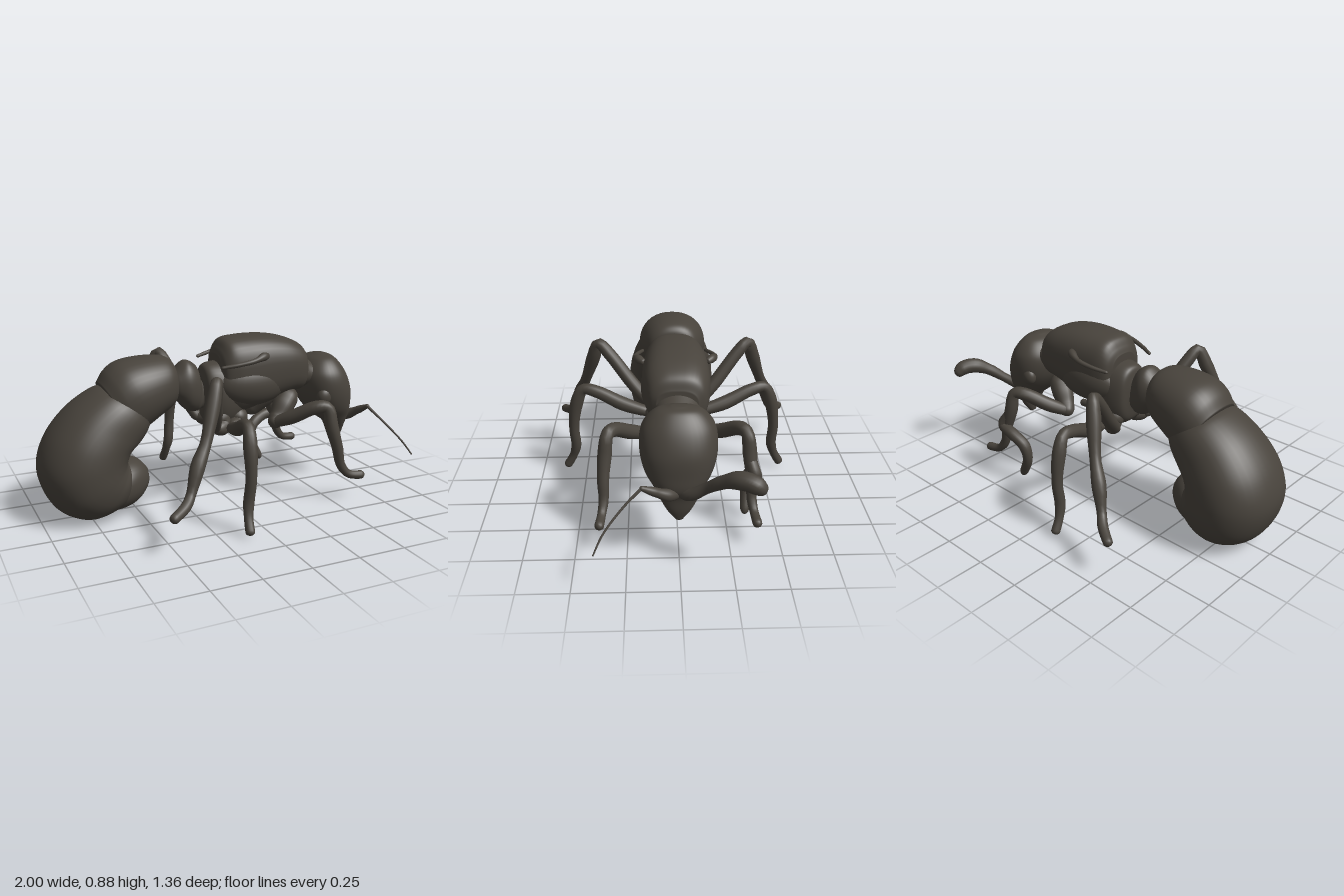
import * as THREE from 'three';

const shell = new THREE.MeshStandardMaterial({ color: 0x48433c });
shell.name = 'dark brown shell';

// Closed skin over a row of rings, each counter-clockwise about the direction of travel
function skin(rings) {
  const n = rings[0].length, m = rings.length, pos = [], idx = [];
  rings.forEach(r => r.forEach(p => pos.push(p.x, p.y, p.z)));
  for (let i = 0; i < m - 1; i++) for (let j = 0; j < n; j++) {
    const a = i * n + j, b = i * n + (j + 1) % n;
    idx.push(a, b, a + n, b, b + n, a + n);
  }
  [0, m - 1].forEach((row, k) => {
    const c = rings[row].reduce((s, p) => s.add(p), new THREE.Vector3()).divideScalar(n);
    pos.push(c.x, c.y, c.z);
    for (let j = 0; j < n; j++) {
      const a = row * n + j, b = row * n + (j + 1) % n;
      k ? idx.push(m * n + 1, a, b) : idx.push(m * n, b, a);
    }
  });
  const g = new THREE.BufferGeometry();
  g.setAttribute('position', new THREE.Float32BufferAttribute(pos, 3));
  g.setIndex(idx);
  g.computeVertexNormals();
  return g;
}

// Body part from sections [outerX, outerY, innerX, innerY, halfWidth]; power squares the section
function loft(sections, power = 2, steps = 60, sides = 40) {
  const outer = new THREE.CatmullRomCurve3(sections.map(s => new THREE.Vector3(s[0], s[1], s[4])));
  const inner = new THREE.CatmullRomCurve3(sections.map(s => new THREE.Vector3(s[2], s[3], 0)));
  const bend = v => Math.sign(v) * Math.abs(v) ** (2 / power);
  const rings = [];
  for (let i = 0; i <= steps; i++) {
    const o = outer.getPoint(i / steps), q = inner.getPoint(i / steps), ring = [];
    for (let j = 0; j < sides; j++) {
      const t = j / sides * Math.PI * 2, c = bend(Math.cos(t));
      ring.push(new THREE.Vector3((o.x + q.x) / 2 + (o.x - q.x) / 2 * c,
        (o.y + q.y) / 2 + (o.y - q.y) / 2 * c, Math.max(o.z, 0.002) * bend(Math.sin(t))));
    }
    rings.push(ring);
  }
  return skin(rings);
}

// Round-ended limb through points [x, y, z, radius]; side mirrors z
function limb(points, side = 1, steps = 44, sides = 14) {
  const curve = new THREE.CatmullRomCurve3(points.map(p => new THREE.Vector3(p[0], p[1], p[2] * side)));
  const length = curve.getLength(), rings = [];
  let normal = new THREE.Vector3(0.31, 0.2, 0.93);
  for (let i = 0; i <= steps; i++) {
    const t = (1 - Math.cos(Math.PI * i / steps)) / 2;
    const c = curve.getPoint(t), dir = curve.getTangent(t);
    normal = normal.clone().addScaledVector(dir, -normal.dot(dir)).normalize();
    const side2 = dir.clone().cross(normal);
    const f = t * (points.length - 1), k = Math.min(Math.floor(f), points.length - 2);
    let r = THREE.MathUtils.lerp(points[k][3], points[k + 1][3], THREE.MathUtils.smoothstep(f - k, 0, 1));
    const end = Math.min(1, Math.min(t, 1 - t) * length / r);
    r *= Math.max(0.03, Math.sqrt(1 - (1 - end) ** 2));
    const ring = [];
    for (let j = 0; j < sides; j++) {
      const a = j / sides * Math.PI * 2;
      ring.push(c.clone().addScaledVector(normal, r * Math.cos(a)).addScaledVector(side2, r * Math.sin(a)));
    }
    rings.push(ring);
  }
  return skin(rings);
}

export function createModel() {
  const model = new THREE.Group();
  model.name = 'ant';
  const add = (name, geometry) => {
    const mesh = new THREE.Mesh(geometry, shell);
    mesh.name = name;
    model.add(mesh);
    return mesh;
  };
  const blob = (name, x, y, z, rx, ry, rz) => {
    const mesh = add(name, new THREE.SphereGeometry(1, 28, 20));
    mesh.position.set(x, y, z);
    mesh.scale.set(rx, ry, rz);
  };

  // Abdomen: front segment, large curled segment and tucked tip
  add('abdomenFront', loft([
    [-0.67, 0.69, -0.52, 0.40, 0.17], [-0.63, 0.75, -0.48, 0.42, 0.185],
    [-0.57, 0.79, -0.42, 0.46, 0.19], [-0.43, 0.81, -0.36, 0.50, 0.175],
    [-0.32, 0.80, -0.31, 0.53, 0.145], [-0.285, 0.77, -0.28, 0.56, 0.115],
    [-0.275, 0.70, -0.275, 0.62, 0.05]], 2.2));
  add('abdomenCurl', loft([
    [-0.55, 0.06, -0.53, 0.24, 0.12], [-0.65, 0.02, -0.54, 0.27, 0.185],
    [-0.79, 0.0, -0.55, 0.29, 0.225], [-0.93, 0.08, -0.55, 0.30, 0.252],
    [-1.0, 0.26, -0.54, 0.32, 0.26], [-0.96, 0.42, -0.52, 0.35, 0.252],
    [-0.84, 0.57, -0.48, 0.38, 0.23], [-0.70, 0.66, -0.44, 0.43, 0.205],
    [-0.62, 0.68, -0.42, 0.47, 0.18]], 2.2));
  add('abdomenTip', loft([
    [-0.425, 0.20, -0.435, 0.22, 0.02], [-0.435, 0.13, -0.47, 0.26, 0.085],
    [-0.50, 0.055, -0.51, 0.28, 0.135], [-0.59, 0.022, -0.56, 0.285, 0.165],
    [-0.70, 0.02, -0.62, 0.27, 0.165]], 2.2));

  // Waist
  add('waistNode', loft([
    [-0.30, 0.69, -0.29, 0.59, 0.055], [-0.26, 0.73, -0.25, 0.55, 0.08],
    [-0.205, 0.77, -0.20, 0.50, 0.094], [-0.15, 0.74, -0.15, 0.49, 0.08],
    [-0.12, 0.66, -0.12, 0.50, 0.05], [-0.06, 0.66, -0.06, 0.50, 0.05]], 2.2));

  // Thorax: rear block, main dome, side bulges and neck
  add('thoraxRear', loft([
    [-0.118, 0.68, -0.115, 0.52, 0.05], [-0.10, 0.735, -0.09, 0.43, 0.10],
    [-0.04, 0.75, -0.03, 0.39, 0.125], [0.03, 0.75, 0.04, 0.39, 0.125],
    [0.10, 0.74, 0.12, 0.46, 0.11]], 2.3));
  add('thoraxDome', loft([
    [-0.035, 0.79, -0.03, 0.58, 0.09], [-0.02, 0.825, 0.0, 0.50, 0.13],
    [0.01, 0.866, 0.07, 0.47, 0.152], [0.1, 0.88, 0.14, 0.48, 0.165],
    [0.25, 0.877, 0.25, 0.52, 0.17], [0.38, 0.85, 0.37, 0.55, 0.162],
    [0.455, 0.81, 0.45, 0.56, 0.14], [0.482, 0.75, 0.487, 0.60, 0.10]], 2.7));
  add('neck', loft([
    [0.42, 0.76, 0.42, 0.56, 0.13], [0.49, 0.73, 0.49, 0.56, 0.11],
    [0.56, 0.70, 0.56, 0.55, 0.11]]));

  // Head, narrowing down into the jaws
  add('head', loft([
    [0.63, 0.745, 0.59, 0.743, 0.03], [0.68, 0.725, 0.53, 0.715, 0.11],
    [0.74, 0.65, 0.478, 0.64, 0.172], [0.78, 0.55, 0.485, 0.53, 0.183],
    [0.787, 0.45, 0.54, 0.435, 0.16], [0.785, 0.385, 0.61, 0.37, 0.12],
    [0.765, 0.335, 0.67, 0.325, 0.095], [0.752, 0.26, 0.692, 0.265, 0.06],
    [0.735, 0.205, 0.705, 0.21, 0.02]], 2.2));

  // Paired parts
  for (const [side, word] of [[1, 'left'], [-1, 'right']]) {
    blob(word + 'Eye', 0.565, 0.525, 0.145 * side, 0.045, 0.05, 0.035);
    blob(word + 'ThoraxSide', 0.15, 0.63, 0.09 * side, 0.2, 0.12, 0.088);
    add(word + 'WingStub', limb([[0.20, 0.785, 0.155, 0.016], [0.165, 0.79, 0.185, 0.022],
      [0.10, 0.775, 0.205, 0.013], [0.02, 0.76, 0.195, 0.011], [-0.07, 0.745, 0.165, 0.009]], side));
    add(word + 'HindHip', limb([[-0.05, 0.50, 0.06, 0.06], [-0.03, 0.42, 0.09, 0.05], [-0.09, 0.41, 0.14, 0.035]], side));
    add(word + 'MiddleHip', limb([[0.08, 0.50, 0.06, 0.06], [0.055, 0.42, 0.085, 0.052], [0.0, 0.42, 0.15, 0.035]], side));
    add(word + 'FrontHip', limb([[0.40, 0.57, 0.08, 0.06], [0.33, 0.50, 0.11, 0.06],
      [0.27, 0.43, 0.14, 0.045], [0.23, 0.405, 0.17, 0.03]], side));
    add(word + 'HindLeg', limb([[-0.08, 0.40, 0.11, 0.03], [-0.13, 0.53, 0.23, 0.036],
      [-0.18, 0.68, 0.35, 0.034], [-0.205, 0.735, 0.41, 0.03], [-0.24, 0.64, 0.445, 0.038],
      [-0.30, 0.48, 0.50, 0.028], [-0.36, 0.38, 0.54, 0.036], [-0.41, 0.26, 0.575, 0.024],
      [-0.45, 0.22, 0.61, 0.026], [-0.54, 0.185, 0.665, 0.024]], side));
    add(word + 'MiddleLeg', limb([[0.0, 0.41, 0.13, 0.03], [-0.03, 0.45, 0.28, 0.038],
      [-0.06, 0.51, 0.42, 0.034], [-0.075, 0.52, 0.495, 0.03], [-0.085, 0.44, 0.535, 0.036],
      [-0.09, 0.28, 0.56, 0.028], [-0.10, 0.16, 0.555, 0.028], [-0.11, 0.09, 0.575, 0.023],
      [-0.118, 0.015, 0.617, 0.024]], side));
    add(word + 'FrontLeg', limb([[0.24, 0.41, 0.14, 0.03], [0.32, 0.46, 0.23, 0.038],
      [0.41, 0.52, 0.31, 0.036], [0.465, 0.52, 0.34, 0.032], [0.485, 0.42, 0.355, 0.036],
      [0.52, 0.30, 0.365, 0.03], [0.545, 0.20, 0.365, 0.025], [0.59, 0.145, 0.375, 0.022],
      [0.685, 0.128, 0.385, 0.024]], side));
  }

  // Extra curled foot on the right front leg
  add('rightFrontCurledFoot', limb([[0.49, 0.40, -0.355, 0.03], [0.53, 0.32, -0.38, 0.032],
    [0.45, 0.29, -0.385, 0.032], [0.38, 0.24, -0.37, 0.032], [0.365, 0.16, -0.36, 0.028],
    [0.425, 0.025, -0.35, 0.024]]));

  // Antennae: one thin and whip-like, one thick and clubbed
  add('leftAntennaBase', limb([[0.74, 0.36, 0.01, 0.03], [0.785, 0.375, 0.05, 0.03],
    [0.815, 0.41, 0.11, 0.022], [0.84, 0.45, 0.18, 0.012]]));
  add('leftAntennaWhip', limb([[0.835, 0.445, 0.17, 0.008], [0.88, 0.38, 0.25, 0.006],
    [0.95, 0.28, 0.345, 0.005], [0.998, 0.2, 0.39, 0.004]], 1, 40, 8));
  add('rightAntenna', limb([[0.74, 0.36, -0.01, 0.03], [0.785, 0.375, -0.05, 0.03],
    [0.82, 0.43, -0.12, 0.026], [0.87, 0.49, -0.19, 0.032], [0.915, 0.525, -0.26, 0.043],
    [0.945, 0.52, -0.32, 0.042], [0.955, 0.485, -0.368, 0.028]]));

  return model;
}
